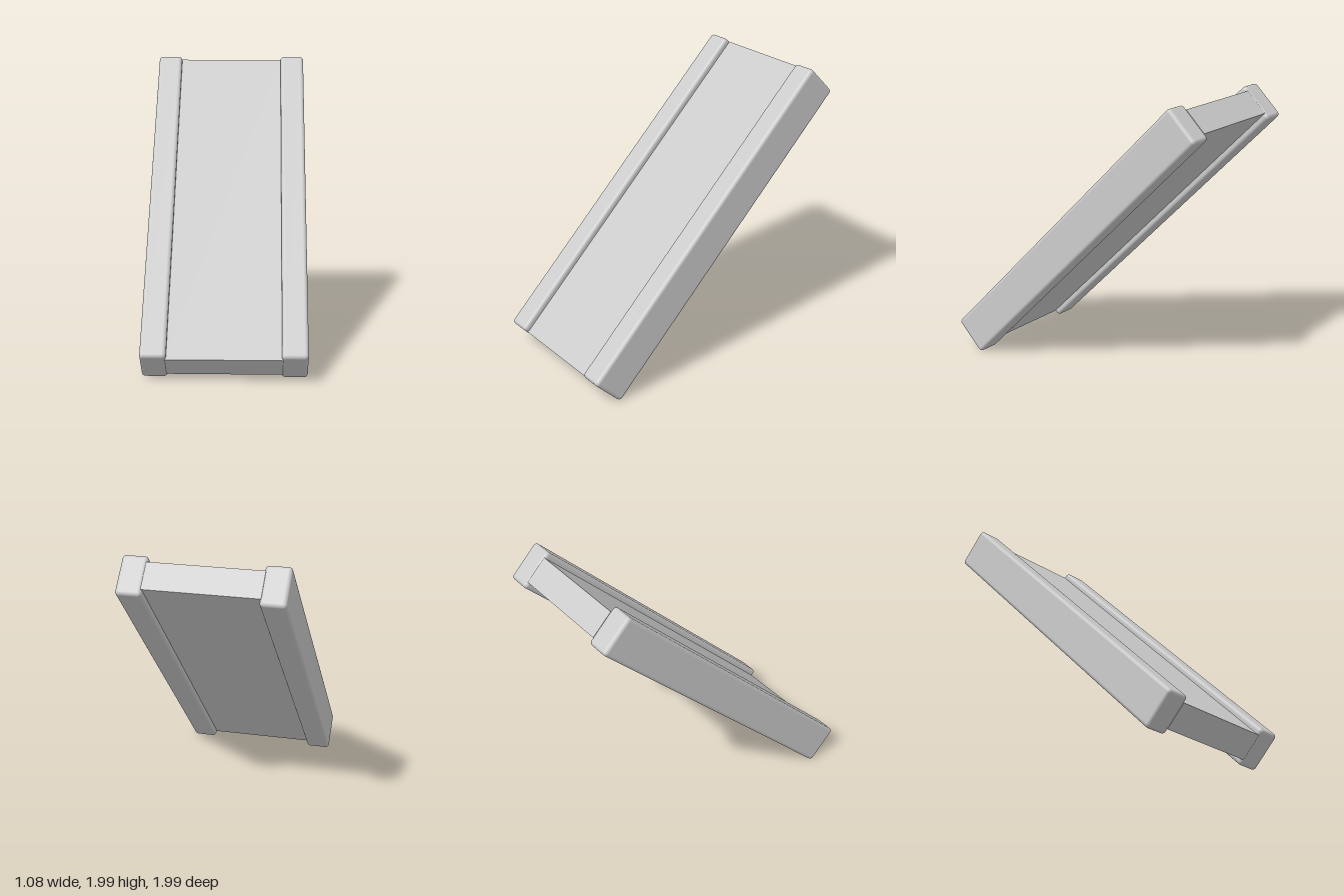
import * as THREE from 'three';
import { RoundedBoxGeometry } from 'three/addons/geometries/RoundedBoxGeometry.js';

export function createModel() {
  const model = new THREE.Group();
  model.name = 'slopedPanel';
  const material = new THREE.MeshStandardMaterial({ color: 0xcccccc });

  // Everything is built upright, then leaned back by 45 degrees
  const ramp = new THREE.Group();
  ramp.name = 'ramp';
  ramp.position.y = 1;
  ramp.rotation.x = -Math.PI / 4;
  model.add(ramp);

  // Flat panel between the rails, recessed on both faces
  const panel = new THREE.Mesh(new THREE.BoxGeometry(0.76, 2.563, 0.192), material);
  panel.name = 'panel';
  ramp.add(panel);

  // Rounded side rails
  const railGeometry = new RoundedBoxGeometry(0.17, 2.57, 0.279, 4, 0.025);
  for (const side of [1, -1]) {
    const rail = new THREE.Mesh(railGeometry, material);
    rail.name = side > 0 ? 'leftRail' : 'rightRail';
    rail.position.x = side * 0.457;
    ramp.add(rail);
  }
  return model;
}
